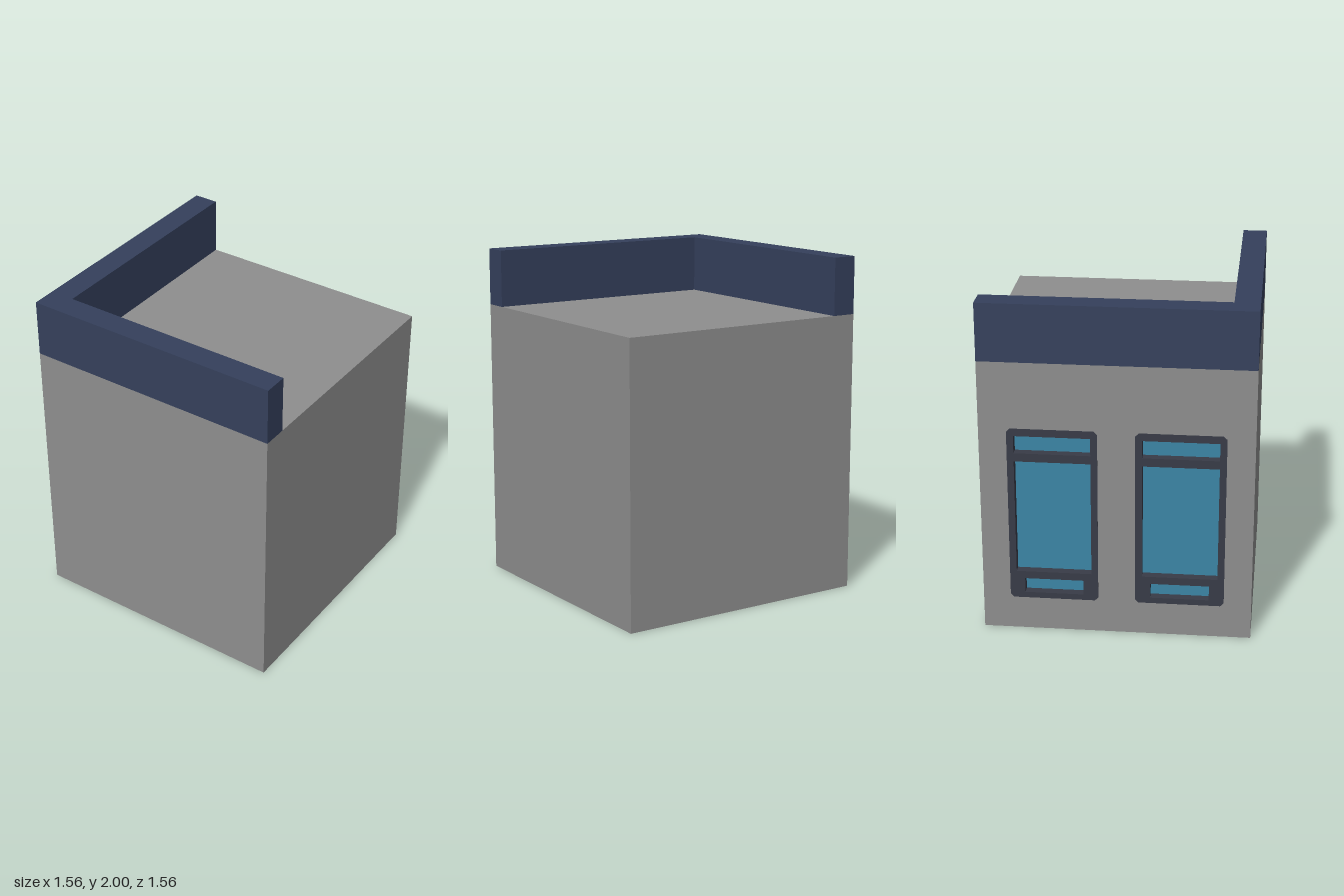
import * as THREE from 'three';

const H = 0.78;        // half width of the block
const ROOF = 1.66;     // roof height
const WALL = 0.08;     // thickness of the window wall

const grey = new THREE.MeshStandardMaterial({ name: 'wallGrey', color: 0x8e8e8e });
const navy = new THREE.MeshStandardMaterial({ name: 'parapetNavy', color: 0x35405c });
const dark = new THREE.MeshStandardMaterial({ name: 'frameDark', color: 0x383b47 });
const blue = new THREE.MeshStandardMaterial({ name: 'glassBlue', color: 0x3b86a6 });

// Closed outline from [x, y] pairs
const outline = (Type, pts) => new Type(pts.map(([x, y]) => new THREE.Vector2(x, y)));
const rect = (Type, x0, x1, y0, y1) => outline(Type, [[x0, y0], [x1, y0], [x1, y1], [x0, y1]]);

// Window outline with small cut corners
function windowOutline(Type, c) {
  const w = 0.257, b = 0.2, t = 1.265, k = 0.02;
  return outline(Type, [
    [c - w + k, b], [c + w - k, b], [c + w, b + k], [c + w, t - k],
    [c + w - k, t], [c - w + k, t], [c - w, t - k], [c - w, b + k],
  ]);
}

// Extrude a (z, y) shape so that its face looks towards -x
function sidePlate(shape, depth, outerX) {
  const g = new THREE.ExtrudeGeometry(shape, { depth, bevelEnabled: false });
  g.rotateY(-Math.PI / 2);
  g.translate(outerX + depth, 0, 0);
  return g;
}

function add(parent, name, geometry, material) {
  const mesh = new THREE.Mesh(geometry, material);
  mesh.name = name;
  parent.add(mesh);
  return mesh;
}

export function createModel() {
  const model = new THREE.Group();
  model.name = 'building';
  const centres = [-0.364, 0.364];

  // Main block and the wall with two window openings
  add(model, 'block', new THREE.BoxGeometry(2 * H - WALL, ROOF, 2 * H), grey)
    .position.set(WALL / 2, ROOF / 2, 0);
  const wall = rect(THREE.Shape, -H, H, 0, ROOF);
  centres.forEach((c) => wall.holes.push(windowOutline(THREE.Path, c)));
  add(model, 'windowWall', sidePlate(wall, WALL, -H), grey);

  // L-shaped parapet along the front and the -x side
  const inner = H - 0.145;
  const ell = outline(THREE.Shape, [
    [-H, -H], [H, -H], [H, -inner], [-inner, -inner], [-inner, H], [-H, H],
  ]);
  const parapet = new THREE.ExtrudeGeometry(ell, { depth: 2 - ROOF, bevelEnabled: false });
  parapet.rotateX(-Math.PI / 2);
  parapet.translate(0, ROOF, 0);
  add(model, 'parapet', parapet, navy);

  // Windows: three panes set back in a dark frame
  for (const c of centres) {
    const win = new THREE.Group();
    win.name = 'window';
    const frame = windowOutline(THREE.Shape, c);
    const panes = [[0.17, 0.235, 0.325], [0.218, 0.37, 1.065], [0.218, 1.115, 1.22]];
    for (const [w, y0, y1] of panes) {
      frame.holes.push(rect(THREE.Path, c - w, c + w, y0, y1));
      add(win, 'glass', sidePlate(rect(THREE.Shape, c - w, c + w, y0, y1), 0.008, -H + 0.05), blue);
    }
    add(win, 'frame', sidePlate(frame, 0.07, -H - 0.002), dark);
    model.add(win);
  }
  return model;
}
